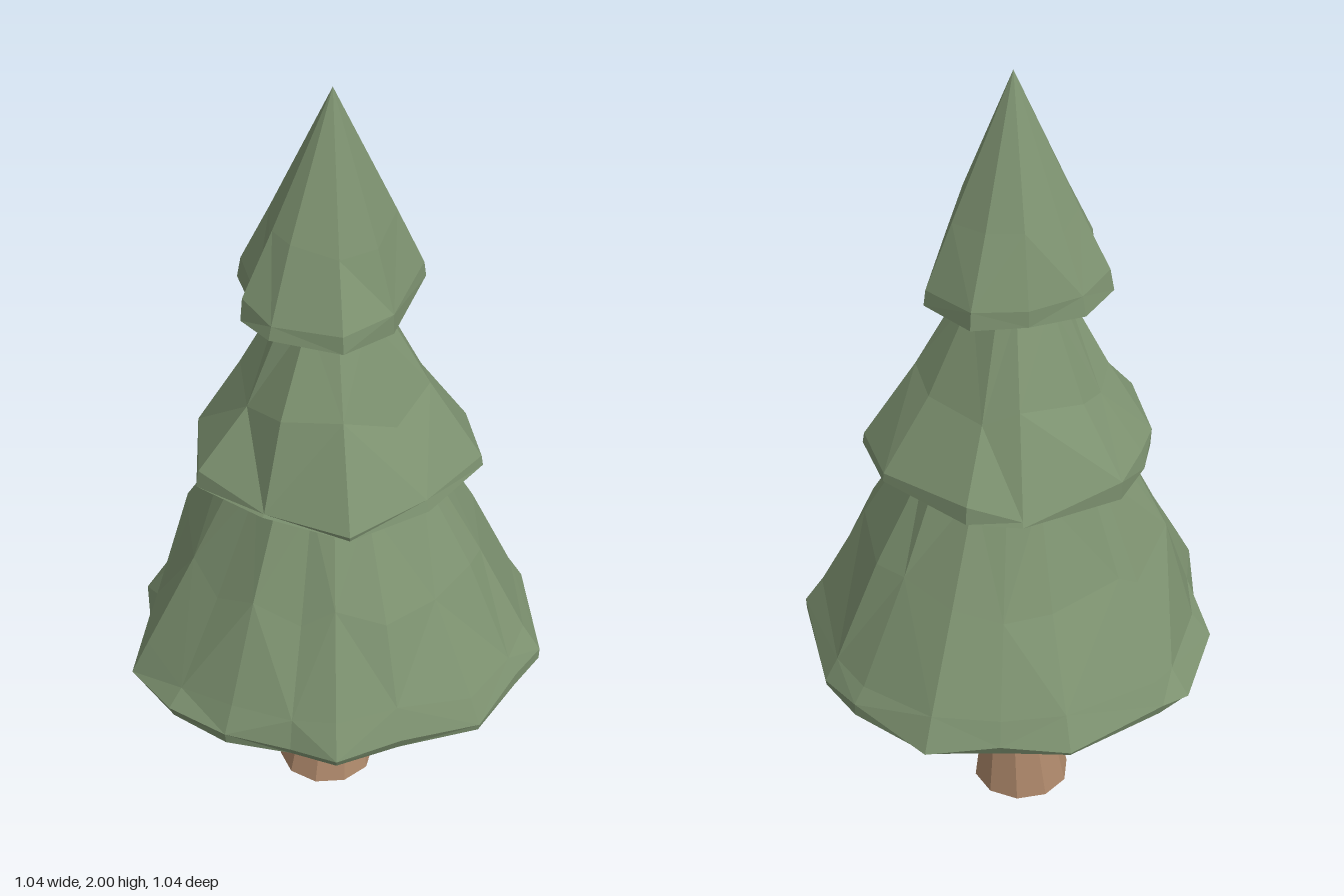
import * as THREE from 'three';

const green = new THREE.MeshStandardMaterial({ color: 0x7d9270, flatShading: true });
const brown = new THREE.MeshStandardMaterial({ color: 0xb08a6c, flatShading: true });

// Small seeded noise in -1..1
function noise(seed) {
  let s = seed;
  return () => {
    s = (s * 16807) % 2147483647;
    return (s / 2147483647) * 2 - 1;
  };
}

// Closed skin over stacked rings of equal point count; first and last rings are capped to a point
function skin(name, rings, bottom, top, material) {
  const pos = [];
  const n = rings[0].length;
  const tri = (a, b, c) => pos.push(...a, ...b, ...c);
  for (let i = 0; i < n; i++) {
    const j = (i + 1) % n;
    tri(bottom, rings[0][i], rings[0][j]);
    for (let k = 0; k + 1 < rings.length; k++) {
      const [a, b, c, d] = [rings[k][i], rings[k][j], rings[k + 1][i], rings[k + 1][j]];
      if ((i + k) % 2) {
        tri(a, c, b);
        tri(b, c, d);
      } else {
        tri(a, c, d);
        tri(a, d, b);
      }
    }
    const last = rings[rings.length - 1];
    tri(top, last[j], last[i]);
  }
  const geo = new THREE.BufferGeometry();
  geo.setAttribute('position', new THREE.Float32BufferAttribute(pos, 3));
  geo.computeVertexNormals();
  const mesh = new THREE.Mesh(geo, material);
  mesh.name = name;
  return mesh;
}

// Foliage tier: irregular rim outline [x, z], levels of [y, radius, roundness, radius jitter, y jitter].
// Roundness 0 scales the outline (radius is a factor), 1 gives a circle of that radius.
function tier(name, outline, levels, bottomY, topY, seed) {
  const rnd = noise(seed);
  const rings = levels.map(([y, radius, round, jr, jy]) =>
    outline.map(([x, z]) => {
      const r0 = Math.hypot(x, z);
      const r = (round ? radius : r0 * radius) + rnd() * jr;
      return [(x / r0) * r, y + rnd() * jy, (z / r0) * r];
    }));
  return skin(name, rings, [0, bottomY, 0], [0, topY, 0], green);
}

export function createModel() {
  const tree = new THREE.Group();
  tree.name = 'pineTree';

  // Bent, tapering trunk: [y, centre x, centre z, radius]
  const trunkRings = [
    [0, -0.035, -0.008, 0.123],
    [0.33, -0.035, -0.033, 0.07],
    [0.52, -0.035, -0.003, 0.066],
  ].map(([y, cx, cz, r]) => Array.from({ length: 10 }, (_, i) => {
    const a = ((i + 0.5) / 10) * Math.PI * 2;
    return [cx + r * Math.cos(a), y, cz + r * Math.sin(a)];
  }));
  tree.add(skin('trunk', trunkRings, [-0.035, 0, -0.008], [-0.035, 0.52, -0.003], brown));

  // Lower foliage
  tree.add(tier('lowerFoliage', [
    [-0.18, -0.52], [0.05, -0.52], [0.18, -0.49], [0.43, -0.31], [0.46, -0.2], [0.52, -0.02],
    [0.45, 0.17], [0.4, 0.33], [0.29, 0.38], [0.16, 0.475], [0, 0.52], [-0.17, 0.505],
    [-0.31, 0.345], [-0.415, 0.275], [-0.52, 0.05], [-0.505, -0.03], [-0.435, -0.29], [-0.31, -0.4],
  ], [
    [0.47, 0.985, 0, 0.008, 0.003],
    [0.492, 1, 0, 0, 0.012],
    [0.565, 0.93, 0, 0.014, 0.025],
    [0.79, 0.365, 1, 0.016, 0.03],
    [1.03, 0.242, 1, 0.012, 0],
  ], 0.47, 1.04, 41));

  // Middle foliage
  tree.add(tier('middleFoliage', [
    [-0.25, -0.25], [-0.14, -0.325], [0.12, -0.33], [0.275, -0.24], [0.335, -0.01], [0.295, 0.2],
    [0.1, 0.3], [-0.1, 0.34], [-0.26, 0.205], [-0.31, 0.12], [-0.345, -0.01],
  ], [
    [1.012, 0.8, 0, 0, 0.002],
    [1.028, 0.99, 0, 0, 0.006],
    [1.055, 0.985, 0, 0.008, 0.02],
    [1.24, 0.222, 1, 0.01, 0.03],
    [1.46, 0.112, 1, 0.006, 0],
  ], 1.012, 1.47, 97));

  // Top foliage
  tree.add(tier('topFoliage', [
    [-0.075, -0.23], [0.08, -0.215], [0.21, 0], [0.2, 0.14], [0.05, 0.23],
    [-0.05, 0.23], [-0.065, 0.18], [-0.2, 0.12], [-0.225, -0.01], [-0.16, -0.13],
  ], [
    [1.46, 0.8, 0, 0, 0.002],
    [1.472, 1, 0, 0, 0.003],
    [1.515, 0.97, 0, 0.006, 0.015],
    [1.67, 0.152, 1, 0.004, 0.02],
  ], 1.46, 2, 23));

  return tree;
}
